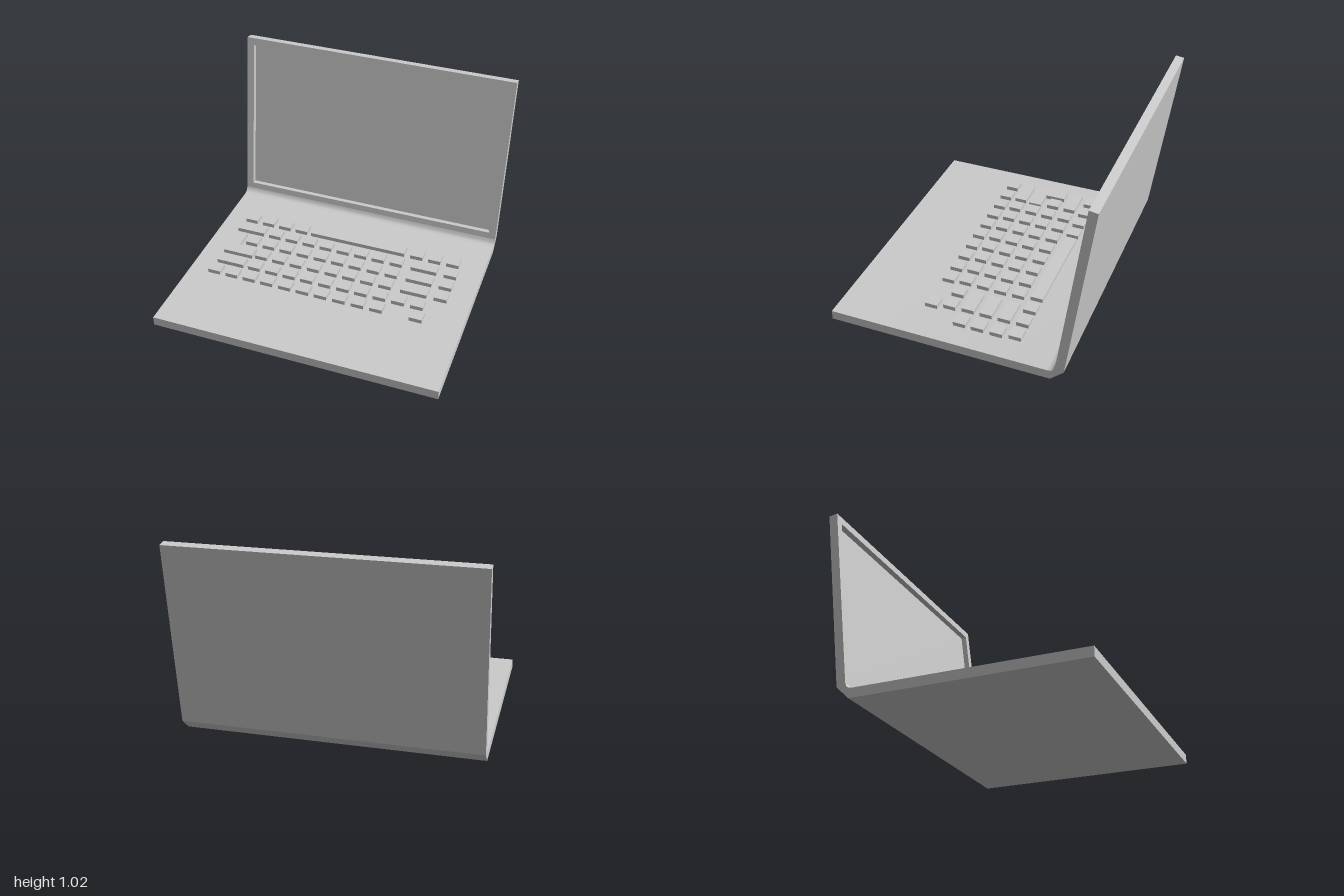
import * as THREE from 'three';
import { toCreasedNormals } from 'three/addons/utils/BufferGeometryUtils.js';

const W = 0.766; // half width of the laptop
const grey = new THREE.MeshStandardMaterial({ color: 0xcccccc });
const greyBoth = new THREE.MeshStandardMaterial({ color: 0xcccccc, side: THREE.DoubleSide });

function named(name, geometry, material = grey) {
  const mesh = new THREE.Mesh(geometry, material);
  mesh.name = name;
  return mesh;
}

// Geometry from a list of four-cornered faces
function quads(faces) {
  const pos = faces.flatMap(([a, b, c, d]) => [a, b, c, a, c, d].flat());
  const g = new THREE.BufferGeometry();
  g.setAttribute('position', new THREE.Float32BufferAttribute(pos, 3));
  return toCreasedNormals(g, 0.65);
}

// Side profile as [z, y]; the last segment but the fillet and deck is the lid face
const profile = [
  [0.686, 0], [-0.496, 0], [-0.564, 0.064], [-0.689, 1.018], [-0.644, 1.025],
  [-0.519, 0.08], [-0.512, 0.062], [-0.5, 0.053], [-0.48, 0.05], [0.686, 0.05],
];
const LID_FACE = 4;

function makeCase() {
  const group = new THREE.Group();
  group.name = 'case';
  const faces = [];
  profile.forEach(([z, y], i) => {
    if (i === LID_FACE) return;
    const [z2, y2] = profile[(i + 1) % profile.length];
    faces.push([[-W, y, z], [-W, y2, z2], [W, y2, z2], [W, y, z]]);
  });
  group.add(named('caseShell', quads(faces)));

  const outline = new THREE.Shape(profile.map(([z, y]) => new THREE.Vector2(z, y)));
  for (const s of [-1, 1]) {
    const side = named(s < 0 ? 'rightSide' : 'leftSide', new THREE.ShapeGeometry(outline), greyBoth);
    side.rotation.y = -s * s * Math.PI / 2;
    side.position.x = s * W;
    group.add(side);
  }
  return group;
}

// Bezel with a recessed display, tilted onto the lid face
function makeDisplay() {
  const [top, bottom] = [profile[LID_FACE], profile[LID_FACE + 1]];
  const dz = top[0] - bottom[0], dy = top[1] - bottom[1];
  const height = Math.hypot(dz, dy);
  const w = 0.726, y0 = 0.035, y1 = 0.912, depth = 0.03;
  const rect = (hw, a, b) => [[-hw, a], [hw, a], [hw, b], [-hw, b]];
  const points = (list) => list.map(([x, y]) => new THREE.Vector2(x, y));
  const inner = rect(w, y0, y1);

  const group = new THREE.Group();
  group.name = 'display';
  const bezel = new THREE.Shape(points(rect(W, 0, height)));
  bezel.holes.push(new THREE.Path(points(inner)));
  group.add(named('bezel', new THREE.ShapeGeometry(bezel)));
  group.add(named('recessWalls', quads(inner.map((a, i) => {
    const b = inner[(i + 1) % 4];
    return [[...a, 0], [...b, 0], [...b, -depth], [...a, -depth]];
  }))));
  const screen = named('screen', new THREE.PlaneGeometry(2 * w, y1 - y0));
  screen.position.set(0, (y0 + y1) / 2, -depth);
  group.add(screen);

  group.position.set(0, bottom[1], bottom[0]);
  group.rotation.x = Math.atan2(dz, dy);
  return group;
}

function makeKeyboard() {
  const group = new THREE.Group();
  group.name = 'keyboard';
  const KW = 0.07, KD = 0.067, Y0 = 0.049, Y1 = 0.0725;
  const key = (x, z, w = KW, name = 'key') => {
    const k = named(name, new THREE.BoxGeometry(w, Y1 - Y0, KD));
    k.position.set(x, (Y0 + Y1) / 2, z);
    group.add(k);
  };
  const run = (x, z, count) => {
    for (let i = 0; i < count; i++) key(x + i * 0.103, z);
  };
  const rows = [-0.262, -0.165, -0.065, 0.033, 0.132, 0.225];

  // Regular keys
  run(-0.608, rows[0], 4);
  run(0.387, rows[0], 3);
  run(-0.425, rows[1], 8);
  run(-0.525, rows[2], 9);
  run(-0.425, rows[3], 8);
  run(-0.425, rows[4], 10);
  run(-0.62, rows[5], 10);
  key(0.522, rows[5]);
  for (const r of [1, 2, 3]) key(0.604, rows[r]);

  // Wide keys
  key(0.038, rows[0], 0.556, 'spaceBar');
  key(-0.571, rows[1], 0.16, 'wideKey');
  key(-0.565, rows[4], 0.155, 'wideKey');
  for (const r of [1, 2, 3]) key(0.456, rows[r], 0.145, 'wideKey');

  // L-shaped key, drawn as [x, -z]
  const corners = [[-0.645, 0.105], [-0.645, -0.075], [-0.475, -0.075], [-0.475, -0.005], [-0.58, -0.005], [-0.58, 0.105]];
  const shape = new THREE.Shape(corners.map(([x, y]) => new THREE.Vector2(x, y)));
  const enter = named('cornerKey', new THREE.ExtrudeGeometry(shape, { depth: Y1 - Y0, bevelEnabled: false }));
  enter.rotation.x = -Math.PI / 2;
  enter.position.y = Y0;
  group.add(enter);
  return group;
}

export function createModel() {
  const model = new THREE.Group();
  model.name = 'laptop';
  const body = new THREE.Group();
  body.name = 'laptopBody';
  body.add(makeCase(), makeDisplay(), makeKeyboard());
  body.rotation.y = 0.489; // stands turned on the ground
  model.add(body);
  return model;
}
